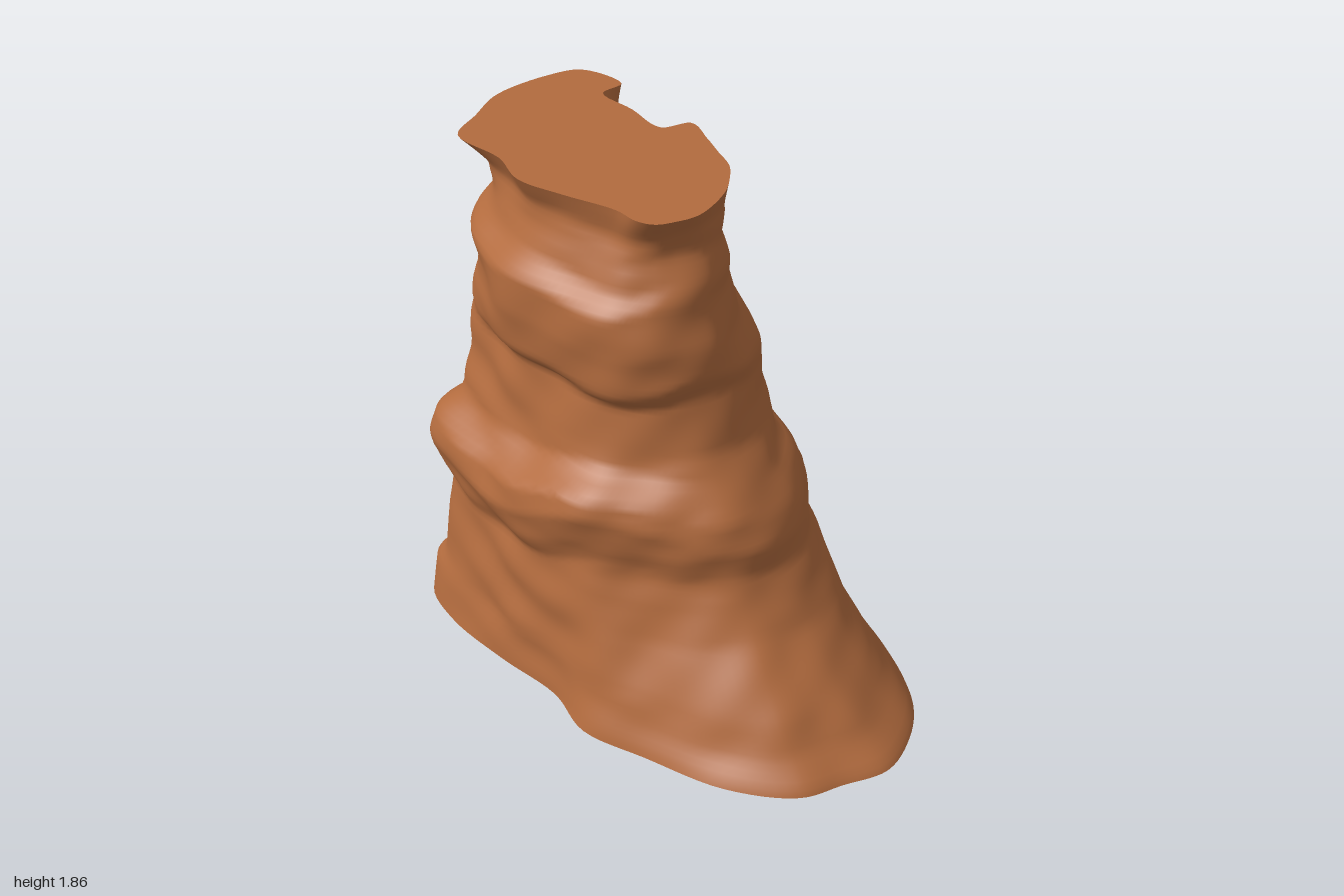
import * as THREE from 'three';

// Matching plan outlines [x, z], from +x round the back, at rising heights
const FOOT = [[1, -.02], [.93, -.2], [.82, -.33], [.65, -.43], [.4, -.51], [.15, -.59], [-.12, -.64],
  [-.37, -.62], [-.48, -.53], [-.6, -.49], [-.75, -.45], [-.87, -.38], [-.97, -.29], [-.99, -.1],
  [-.96, .15], [-.95, .4], [-.86, .54], [-.65, .6], [-.35, .6], [-.07, .58], [.15, .63], [.4, .56],
  [.7, .46], [.9, .3], [.95, .15]];
const MIDDLE = [[.46, 0], [.43, -.11], [.37, -.2], [.28, -.29], [.16, -.37], [.02, -.43], [-.14, -.48],
  [-.33, -.47], [-.45, -.44], [-.58, -.42], [-.72, -.4], [-.84, -.36], [-.94, -.28], [-.97, -.1],
  [-.95, .15], [-.93, .4], [-.85, .52], [-.65, .57], [-.35, .6], [-.07, .59], [.09, .54], [.21, .45],
  [.34, .34], [.43, .22], [.46, .11]];
const WAIST = [[.25, .04], [.23, -.06], [.18, -.14], [.11, -.21], [.01, -.27], [-.11, -.32], [-.22, -.36],
  [-.33, -.37], [-.44, -.36], [-.56, -.35], [-.7, -.35], [-.8, -.33], [-.88, -.27], [-.91, -.15],
  [-.91, .05], [-.89, .24], [-.81, .36], [-.57, .42], [-.38, .44], [-.2, .43], [-.02, .41], [.1, .37],
  [.18, .3], [.23, .21], [.25, .12]];
const UPPER = [[.23, .08], [.2, 0], [.14, -.08], [.07, -.14], [-.02, -.2], [-.12, -.25], [-.22, -.29],
  [-.33, -.32], [-.44, -.32], [-.56, -.32], [-.7, -.33], [-.8, -.33], [-.91, -.29], [-.95, -.16],
  [-.94, 0], [-.87, .17], [-.76, .31], [-.56, .42], [-.38, .46], [-.2, .45], [-.02, .42], [.09, .38],
  [.17, .3], [.21, .22], [.23, .14]];
const SUMMIT = [[.2, .12], [.18, .05], [.13, -.05], [.07, -.12], [0, -.18], [-.1, -.22], [-.2, -.26],
  [-.33, -.3], [-.37, -.2], [-.55, -.22], [-.72, -.23], [-.74, -.33], [-.93, -.3], [-.97, -.18],
  [-.96, .05], [-.87, .21], [-.78, .35], [-.55, .35], [-.38, .4], [-.2, .36], [0, .3], [.1, .3],
  [.16, .27], [.19, .2], [.2, .16]];

// Side silhouettes as [height, position]
const LEFT = [[0, 1], [.03, .98], [.1, .89], [.2, .8], [.3, .7], [.4, .6], [.5, .53], [.6, .47], [.7, .47],
  [.8, .43], [.9, .36], [1, .29], [1.1, .26], [1.2, .23], [1.28, .26], [1.4, .24], [1.6, .19], [1.7, .15],
  [1.8, .16], [1.865, .19]];
const RIGHT = [[0, -.99], [.13, -.98], [.18, -.93], [.35, -.9], [.53, -.89], [.57, -.93], [.65, -.97],
  [.8, -.94], [.86, -.87], [1.15, -.87], [1.22, -.91], [1.28, -.95], [1.6, -.95], [1.65, -.92],
  [1.75, -.9], [1.8, -.92], [1.865, -.97]];
const FRONT = [[0, .64], [.2, .58], [.4, .56], [.54, .54], [.6, .57], [.7, .6], [.8, .58], [.85, .52], [.9, .47],
  [1, .45], [1.2, .42], [1.25, .46], [1.4, .48], [1.55, .48], [1.61, .41], [1.7, .37], [1.77, .36], [1.865, .41]];
const BACK = [[0, -.64], [.1, -.62], [.2, -.54], [.4, -.52], [.6, -.48], [.75, -.48], [.85, -.42], [.9, -.37],
  [1.1, -.37], [1.25, -.39], [1.4, -.33], [1.6, -.31], [1.7, -.26], [1.8, -.3], [1.865, -.33]];

const HEIGHT = 1.865, BASE = .01, ROWS = 90, COLS = 150;

function sample(profile, y) {
  if (y <= profile[0][0]) return profile[0][1];
  for (let i = 1; i < profile.length; i++) {
    const [y0, v0] = profile[i - 1], [y1, v1] = profile[i];
    if (y <= y1) return v0 + (v1 - v0) * (y - y0) / (y1 - y0);
  }
  return profile[profile.length - 1][1];
}

// Scale a ring to 0..1 on both axes
function fitUnit(ring) {
  const us = ring.map(p => p[0]), vs = ring.map(p => p[1]);
  const u0 = Math.min(...us), u1 = Math.max(...us), v0 = Math.min(...vs), v1 = Math.max(...vs);
  return ring.map(([u, v]) => [(u - u0) / (u1 - u0), (v - v0) / (v1 - v0)]);
}

// Smooth closed outline; equal curve steps keep the outlines matched
function unitOutline(points) {
  const curve = new THREE.CatmullRomCurve3(points.map(([x, z]) => new THREE.Vector3(x, 0, z)), true, 'centripetal');
  return fitUnit(Array.from({ length: COLS }, (_, i) => {
    const p = curve.getPoint(i / COLS);
    return [p.x, p.z];
  }));
}

const middle = unitOutline(MIDDLE), upper = unitOutline(UPPER);
const STAGES = [[0, unitOutline(FOOT)], [.65, middle], [.85, middle], [1.2, unitOutline(WAIST)], [1.38, upper],
  [1.68, upper], [HEIGHT, unitOutline(SUMMIT)]];

// Outline at a height, blended between the neighbouring stages
function outlineAt(y) {
  const k = Math.max(1, STAGES.findIndex(([h]) => h >= y));
  const [h0, a] = STAGES[k - 1], [h1, b] = STAGES[k], t = (y - h0) / (h1 - h0);
  return fitUnit(a.map(([u, v], i) => [u + (b[i][0] - u) * t, v + (b[i][1] - v) * t]));
}

// Weathering: thin uneven strata plus broad lumps
function roughness(x, y, z) {
  const drift = Math.sin(3.1 * x + 1.7 * z) * .7 + Math.sin(7.3 * x - 5.2 * z) * .35;
  return .004 * Math.sin(31 * y + 3 * drift) * (1 + Math.sin(5 * x + 4 * z + 3 * y))
    + .006 * Math.sin(9 * x + 3 * y + 1) * Math.sin(8 * z - 6 * y)
    + .005 * Math.sin(19 * x - 11 * y) * Math.sin(17 * z + 9 * y);
}

export function createModel() {
  const group = new THREE.Group();
  const material = new THREE.MeshStandardMaterial({ color: 0xb26b3e, roughness: 1, side: THREE.DoubleSide });
  const positions = [], indices = [], rim = [];

  // Rock wall: stacked outlines, open underneath
  for (let r = 0; r <= ROWS; r++) {
    const f = r / ROWS, y = Math.min(HEIGHT, BASE + (HEIGHT - BASE) * f);
    const fade = Math.min(1, f * 12, (1 - f) * 12);
    for (const [u, v] of outlineAt(y)) {
      // Ledges wander in height around the rock
      const wander = fade * .03 * Math.sin(7 * u + 5 * v) * Math.sin(4 * u - 6 * v + 1);
      const ledge = .16 * THREE.MathUtils.smoothstep(u, .45, .8) * THREE.MathUtils.smoothstep(v, .6, .95)
        * Math.exp(-(((y - .75) / .22) ** 2));
      const yw = y + wander;
      let x = THREE.MathUtils.lerp(sample(RIGHT, yw), sample(LEFT, yw), u);
      let z = THREE.MathUtils.lerp(sample(BACK, yw), sample(FRONT, yw - ledge), v);
      const nx = u - .5, nz = v - .5, len = Math.hypot(nx, nz), d = roughness(x, y, z) * fade;
      x += nx / len * d;
      z += nz / len * d;
      positions.push(x, y, z);
      if (r === ROWS) rim.push(new THREE.Vector2(x, -z));
    }
  }
  for (let r = 0; r < ROWS; r++) {
    for (let c = 0; c < COLS; c++) {
      const a = r * COLS + c, b = r * COLS + (c + 1) % COLS;
      indices.push(a, b, b + COLS, a, b + COLS, a + COLS);
    }
  }
  const wallGeometry = new THREE.BufferGeometry();
  wallGeometry.setAttribute('position', new THREE.Float32BufferAttribute(positions, 3));
  wallGeometry.setIndex(indices);
  wallGeometry.computeVertexNormals();
  const wall = new THREE.Mesh(wallGeometry, material);
  wall.name = 'rockWall';

  // Flat summit closing the rim
  const top = new THREE.Mesh(new THREE.ShapeGeometry(new THREE.Shape(rim)).rotateX(-Math.PI / 2), material);
  top.position.y = HEIGHT;
  top.name = 'flatSummit';

  group.add(wall, top);
  group.name = 'rockButte';
  return group;
}
